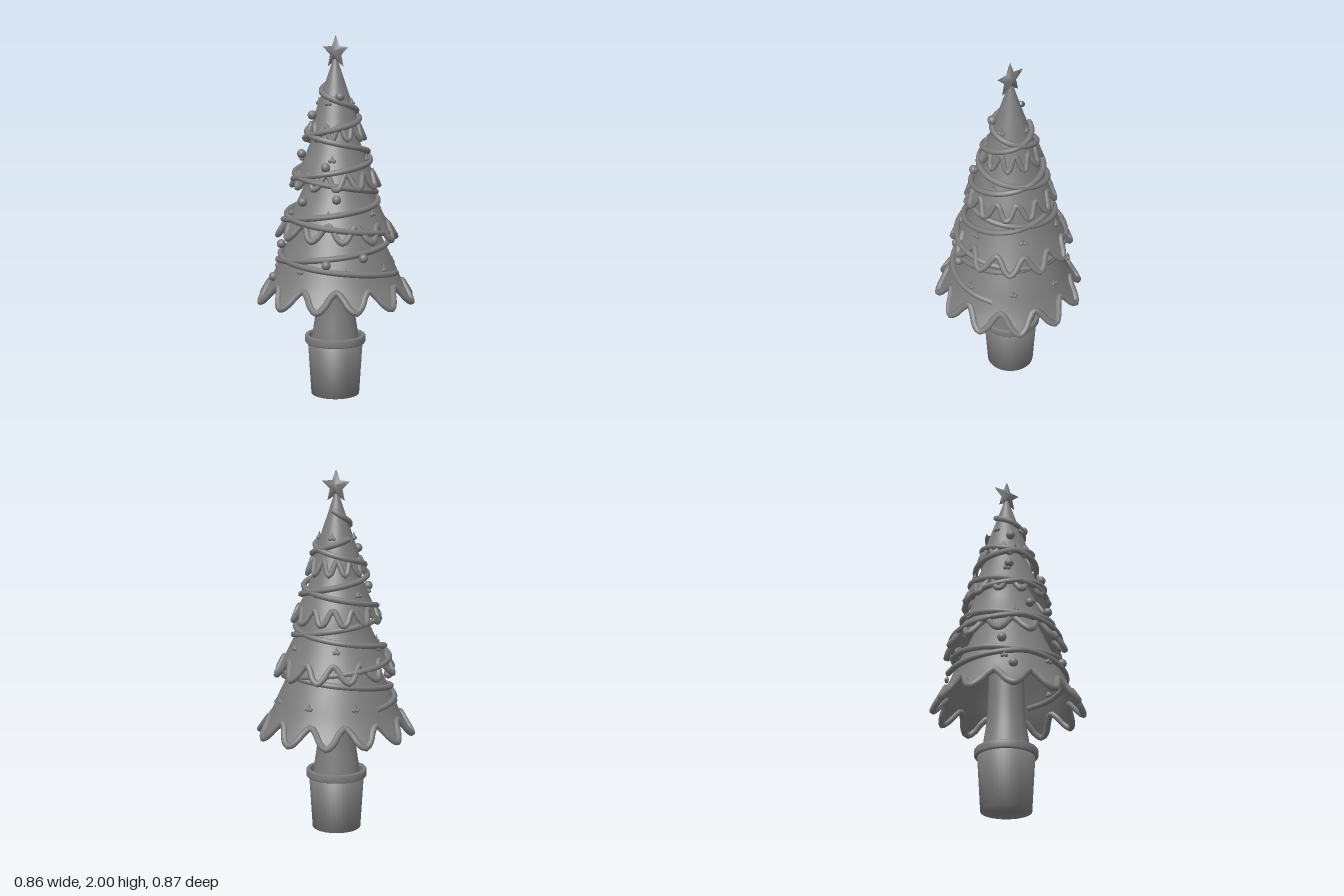
import * as THREE from 'three';
import { mergeVertices } from 'three/addons/utils/BufferGeometryUtils.js';

const AX = -0.013; // tree axis offset in x and z
const mat = new THREE.MeshStandardMaterial({ color: 0x7c7c7c });
const thin = new THREE.MeshStandardMaterial({ color: 0x7c7c7c, side: THREE.DoubleSide });

function add(parent, name, geometry, material = mat, x = 0, y = 0, z = 0) {
  const m = new THREE.Mesh(geometry, material);
  m.name = name;
  m.position.set(x, y, z);
  parent.add(m);
  return m;
}

const curveOf = pts => new THREE.CatmullRomCurve3(pts.map(([r, y]) => new THREE.Vector3(r, y, 0)));

// Foliage tiers: profile runs [radius, height] from hem tip, hem notch, up to the top;
// oval stretches a tier along its back-left diagonal
const tiers = [
  { points: 12, phase: 1.48, cx: -0.003, cz: -0.008, tilt: 0, oval: 0.03,
    profile: [[0.418, 0.55], [0.357, 0.65], [0.3, 0.78], [0.22, 0.95], [0.15, 1.1]] },
  { points: 12, phase: Math.PI + 0.26, cx: -0.01, cz: 0.012, tilt: -0.04, oval: 0,
    profile: [[0.328, 0.9], [0.278, 0.985], [0.21, 1.12], [0.165, 1.24], [0.11, 1.33]] },
  { points: 12, phase: 0.2, cx: AX, cz: AX, tilt: 0, oval: 0,
    profile: [[0.24, 1.18], [0.205, 1.26], [0.16, 1.36], [0.115, 1.47], [0.08, 1.55]] },
  { points: 11, phase: 0, cx: AX, cz: AX, tilt: 0, oval: 0,
    profile: [[0.16, 1.44], [0.13, 1.52], [0.1, 1.61], [0.055, 1.74], [0.012, 1.87]] },
];

function buildTier(spec, index) {
  const g = new THREE.Group();
  g.name = 'foliageTier' + (index + 1);
  const curve = curveOf(spec.profile);
  const notch = 1 / (spec.profile.length - 1);
  const at = (a, v) => {
    const w = 0.5 + 0.5 * Math.cos(spec.points * (a - spec.phase));
    const p = curve.getPoint(THREE.MathUtils.lerp(notch * (1 - w), 1, v));
    const r = p.x * (1 + spec.oval * Math.cos(2 * (a - Math.PI * 0.75)));
    return new THREE.Vector3(r * Math.sin(a), p.y, r * Math.cos(a));
  };
  // Skirt with a scalloped lower edge
  let geo = new THREE.PlaneGeometry(1, 1, spec.points * 12, 14);
  const pos = geo.attributes.position;
  for (let i = 0; i < pos.count; i++) {
    const p = at((pos.getX(i) + 0.5) * Math.PI * 2, pos.getY(i) + 0.5);
    pos.setXYZ(i, p.x, p.y, p.z);
  }
  geo.deleteAttribute('uv');
  geo.deleteAttribute('normal');
  geo = mergeVertices(geo, 1e-5);
  geo.computeVertexNormals();
  add(g, 'skirt', geo, thin);
  // Rolled trim along the hem
  const n = spec.points * 6;
  const hem = Array.from({ length: n }, (_, i) => at(i / n * Math.PI * 2, 0));
  const path = new THREE.CatmullRomCurve3(hem, true);
  add(g, 'hemTrim', new THREE.TubeGeometry(path, n * 3, 0.018 - index * 0.001, 8, true));
  g.position.set(spec.cx, 0, spec.cz);
  g.rotation.x = spec.tilt;
  return g;
}

// Outer envelope of the foliage, used to lay garlands and ornaments on it
const envelope = [[0.7, 0.335], [0.85, 0.28], [0.95, 0.3], [1.04, 0.255], [1.13, 0.215],
  [1.23, 0.225], [1.35, 0.175], [1.46, 0.155], [1.6, 0.106], [1.72, 0.06], [1.8, 0.04]];
function radiusAt(y) {
  let i = 0;
  while (i < envelope.length - 2 && y > envelope[i + 1][0]) i++;
  const [y0, r0] = envelope[i], [y1, r1] = envelope[i + 1];
  return r0 + (r1 - r0) * (y - y0) / (y1 - y0);
}
const onTree = (a, y, out = 0) => {
  const r = radiusAt(y) + out;
  return new THREE.Vector3(AX + r * Math.sin(a), y, AX + r * Math.cos(a));
};

// Garland winding up the tree
function garland(a0, turns, y0, y1) {
  const n = Math.round(Math.abs(turns) * 20);
  const pts = Array.from({ length: n + 1 }, (_, i) => {
    const t = i / n;
    return onTree(a0 + turns * t * Math.PI * 2, y0 + (y1 - y0) * t, 0.008);
  });
  return new THREE.TubeGeometry(new THREE.CatmullRomCurve3(pts), n * 4, 0.016, 8);
}

// Five-pointed star, smoothly puffed from a sharp rim to a thick centre
function starGeometry(outer, inner, depth) {
  const scales = [1, 0.75, 0.5, 0.25], pos = [], idx = [];
  for (const side of [1, -1]) {
    const first = pos.length / 3, centre = first + scales.length * 10;
    for (const s of scales) {
      for (let i = 0; i < 10; i++) {
        const r = s * (i % 2 ? inner : outer), a = Math.PI / 2 + side * i * Math.PI / 5;
        pos.push(r * Math.cos(a), r * Math.sin(a), side * depth * (1 - s * s));
      }
    }
    pos.push(0, 0, side * depth);
    for (let k = 0; k < scales.length; k++) {
      for (let i = 0; i < 10; i++) {
        const a = first + k * 10 + i, b = first + k * 10 + (i + 1) % 10;
        if (k === scales.length - 1) idx.push(a, b, centre);
        else idx.push(a, b, b + 10, a, b + 10, a + 10);
      }
    }
  }
  const geo = new THREE.BufferGeometry();
  geo.setAttribute('position', new THREE.Float32BufferAttribute(pos, 3));
  geo.setIndex(idx);
  geo.computeVertexNormals();
  return geo;
}

const lathe = pts => new THREE.LatheGeometry(pts.map(p => new THREE.Vector2(...p)), 40);

export function createModel() {
  const model = new THREE.Group();
  model.name = 'pottedTree';

  // Pot, rim and trunk
  const base = new THREE.Group();
  base.name = 'base';
  base.position.set(AX, 0, AX);
  model.add(base);
  add(base, 'pot', lathe([[0, 0], [0.135, 0], [0.154, 0.3], [0, 0.3]]), thin);
  add(base, 'potRim', lathe([[0.145, 0.295], [0.165, 0.295], [0.17, 0.302], [0.17, 0.333],
    [0.165, 0.34], [0.15, 0.34], [0.145, 0.333], [0.145, 0.295]]), thin);
  const trunk = curveOf([[0.135, 0.29], [0.124, 0.37], [0.108, 0.48], [0.1, 0.58], [0.095, 0.75], [0.07, 1.1], [0.01, 1.8]]);
  add(base, 'trunk', lathe(trunk.getPoints(24).map(p => [p.x, p.y])), thin);

  tiers.forEach((spec, i) => model.add(buildTier(spec, i)));

  // Two garlands wound in opposite directions
  add(model, 'garlandA', garland(2.1, -4.8, 0.7, 1.78));
  add(model, 'garlandB', garland(-1.9, 4, 0.73, 1.63));

  // Round baubles: [angle from the front, height]
  const baubles = [[-0.57, 0.69], [0.54, 0.79], [1.2, 0.82], [-0.75, 0.86], [-0.12, 1.11], [0.72, 1.13],
    [0.45, 1.3], [-0.6, 1.36], [-0.5, 1.57], [0.95, 1.67]];
  const ball = new THREE.SphereGeometry(0.025, 20, 14);
  baubles.forEach(([a, y]) => add(model, 'bauble', ball).position.copy(onTree(a, y, 0.018)));

  // Small berry sprigs in rows: [height, count, starting angle]
  const berry = new THREE.SphereGeometry(0.011, 10, 8);
  const leaf = new THREE.ConeGeometry(0.011, 0.032, 8);
  for (const [y, count, start] of [[0.75, 8, 0.08], [1.05, 6, -0.5], [1.34, 5, 0.6], [1.64, 4, 0.3]]) {
    for (let i = 0; i < count; i++) {
      const a = start + i * Math.PI * 2 / count;
      const sprig = new THREE.Group();
      sprig.name = 'berrySprig';
      sprig.position.copy(onTree(a, y, 0.006));
      sprig.rotation.y = a;
      for (const s of [-1, 1]) add(sprig, 'berry', berry, mat, s * 0.01, -0.008, 0.003);
      add(sprig, 'leaf', leaf, mat, 0, 0.012, 0);
      model.add(sprig);
    }
  }

  add(model, 'star', starGeometry(0.094, 0.042, 0.024), mat, -0.01, 1.906, AX);
  return model;
}
